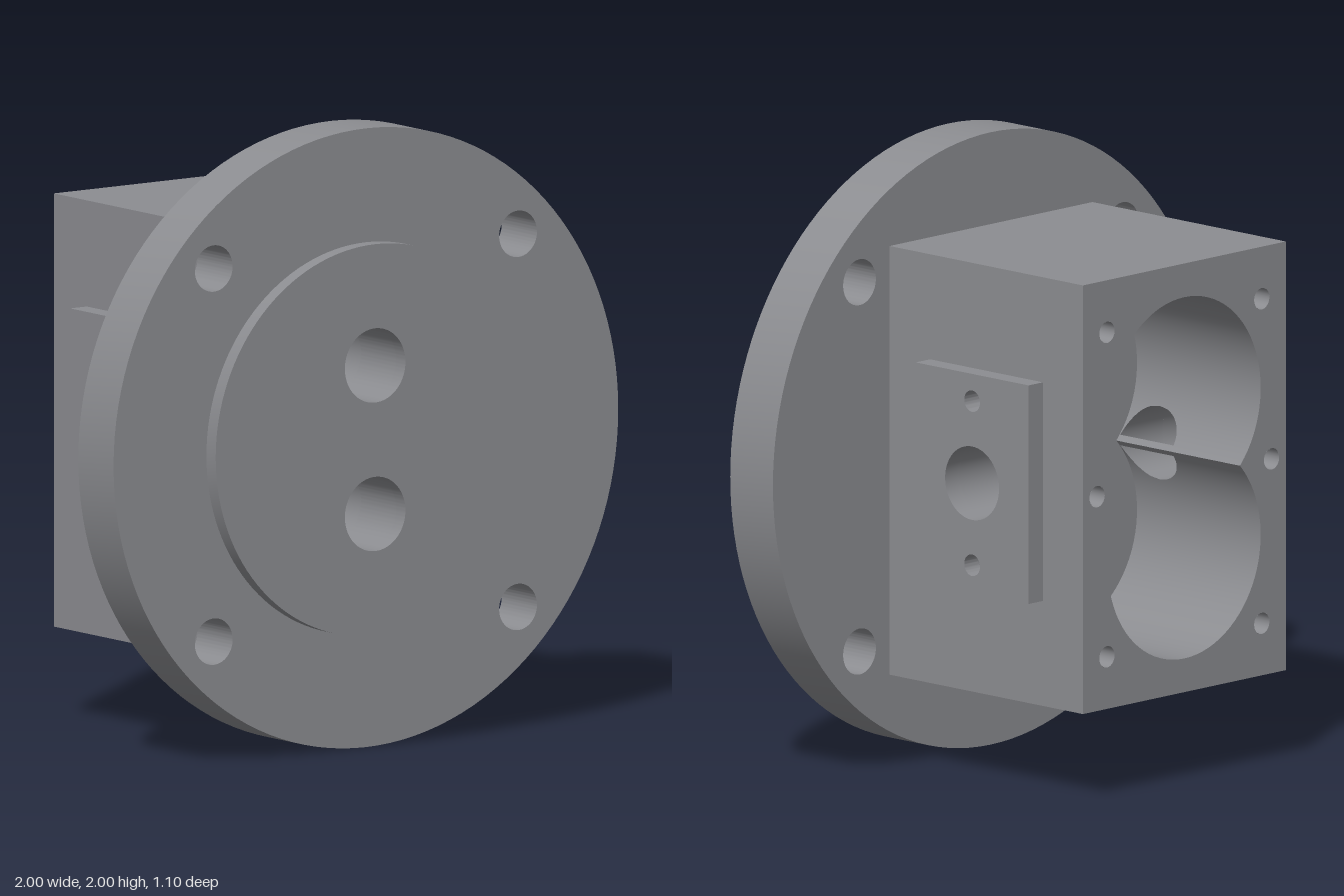
import * as THREE from 'three';
import { toCreasedNormals } from 'three/addons/utils/BufferGeometryUtils.js';

const BOX_W = 0.465, BOX_H = 0.7, BACK = -0.55, FLOOR = 0, FLANGE_Z = 0.31;
const BORE_R = 0.35, BORE_Y = 0.24, TUNNEL_R = 0.12;
const PORT_R = 0.12, PORT_Z = -0.121, PORT_DEPTH_X = 0.27, SCREW_R = 0.035, SCREW_Y = 0.268;

function circle(x, y, r) {
  return new THREE.Path().absarc(x, y, r, 0, Math.PI * 2, true);
}

function rect(x0, y0, x1, y1) {
  return new THREE.Shape([[x0, y0], [x1, y0], [x1, y1], [x0, y1]].map(p => new THREE.Vector2(...p)));
}

function disc(r) {
  return new THREE.Shape().absarc(0, 0, r, 0, Math.PI * 2, false);
}

function extrude(shape, depth, segments = 32) {
  const g = new THREE.ExtrudeGeometry(shape, { depth, bevelEnabled: false, curveSegments: segments });
  return toCreasedNormals(g, 0.6);
}

// Angles along one quarter of the double bore, from the ridge to the top
function boreAngles() {
  const at = dy => Math.asin((dy - BORE_Y) / BORE_R);
  const tip = BORE_Y - Math.sqrt(BORE_R ** 2 - PORT_DEPTH_X ** 2);
  const stops = [at(0), at(tip), at(PORT_R), Math.PI / 2];
  const counts = [3, 20, 24], list = [stops[0]];
  counts.forEach((n, k) => {
    for (let i = 1; i <= n; i++) list.push(stops[k] + (stops[k + 1] - stops[k]) * i / n);
  });
  return { list, tip, gapFrom: counts[0], gapTo: counts[0] + counts[1] };
}

// Quarter of the bore wall, leaving an opening where the side port cuts it
function boreQuarter() {
  const { list, gapFrom, gapTo } = boreAngles();
  const pos = [], nor = [];
  const strip = (i, z) => {
    const c = [[i, z[0]], [i, z[1]], [i + 1, z[3]], [i + 1, z[2]]];
    for (const k of [0, 1, 2, 0, 2, 3]) {
      const a = list[c[k][0]];
      pos.push(BORE_R * Math.cos(a), BORE_Y + BORE_R * Math.sin(a), c[k][1]);
      nor.push(-Math.cos(a), -Math.sin(a), 0);
    }
  };
  const half = i => {
    const dy = BORE_Y + BORE_R * Math.sin(list[i]);
    return Math.sqrt(Math.max(0, PORT_R ** 2 - dy ** 2));
  };
  for (let i = 0; i < list.length - 1; i++) {
    if (i >= gapFrom && i < gapTo) {
      const a = half(i), b = half(i + 1);
      strip(i, [BACK, PORT_Z - a, BACK, PORT_Z - b]);
      strip(i, [PORT_Z + a, FLOOR, PORT_Z + b, FLOOR]);
    } else strip(i, [BACK, FLOOR, BACK, FLOOR]);
  }
  const g = new THREE.BufferGeometry();
  g.setAttribute('position', new THREE.Float32BufferAttribute(pos, 3));
  g.setAttribute('normal', new THREE.Float32BufferAttribute(nor, 3));
  // Turn the winding to match the inward normals
  const index = [];
  for (let i = 0; i < pos.length / 3; i += 3) index.push(i, i + 2, i + 1);
  g.setIndex(index);
  return g;
}

export function createModel() {
  const model = new THREE.Group();
  const body = new THREE.Group();
  body.name = 'sensorHousing';
  body.position.y = 1;
  model.add(body);
  const grey = new THREE.MeshStandardMaterial({ color: 0x8c8d91, side: THREE.DoubleSide });
  grey.name = 'housing grey';

  const add = (name, geometry, parent = body) => {
    const m = new THREE.Mesh(geometry, grey);
    m.name = name;
    parent.add(m);
    return m;
  };
  const tunnels = () => [circle(0, BORE_Y, TUNNEL_R), circle(0, -BORE_Y, TUNNEL_R)];

  // Round flange with four bolt holes
  const flange = disc(1);
  flange.holes.push(...tunnels());
  for (const x of [-0.603, 0.603]) for (const y of [-0.603, 0.603]) flange.holes.push(circle(x, y, 0.075));
  add('flange', extrude(flange, 0.5 - FLANGE_Z, 64)).position.z = FLANGE_Z;

  // Raised front disc
  const boss = disc(0.632);
  boss.holes.push(...tunnels());
  add('frontDisc', extrude(boss, 0.05, 64)).position.z = 0.5;

  // Solid front part of the box, its rear face being the bore floor
  const solid = rect(-BOX_W, -BOX_H, BOX_W, BOX_H);
  solid.holes.push(...tunnels());
  add('boxFront', extrude(solid, FLANGE_Z - FLOOR)).position.z = FLOOR;

  // Top and bottom walls of the hollow rear part
  for (const s of [-1, 1]) {
    const g = new THREE.PlaneGeometry(BOX_W * 2, FLOOR - BACK).rotateX(-s * Math.PI / 2);
    add(s > 0 ? 'topWall' : 'bottomWall', g).position.set(0, s * BOX_H, (FLOOR + BACK) / 2);
  }

  // Rear face with the double bore opening and six screw holes
  const screws = [];
  for (const x of [-1, 1]) for (const y of [-1, 0, 1]) screws.push([x * (y ? 0.355 : 0.4), y * 0.53]);
  const rear = rect(-BOX_W, -BOX_H, BOX_W, BOX_H);
  const quarter = boreAngles().list.map(a => [BORE_R * Math.cos(a), BORE_Y + BORE_R * Math.sin(a)]);
  const back = [...quarter].reverse();
  const outline = [
    ...quarter, ...back.slice(1).map(([x, y]) => [-x, y]),
    ...quarter.slice(1).map(([x, y]) => [-x, -y]), ...back.slice(1, -1).map(([x, y]) => [x, -y]),
  ];
  rear.holes.push(new THREE.Path(outline.map(p => new THREE.Vector2(...p))));
  for (const [x, y] of screws) rear.holes.push(circle(x, y, SCREW_R));
  const rearGeo = new THREE.ShapeGeometry(rear, 24).rotateY(Math.PI);
  add('rearFace', rearGeo).position.z = BACK;

  // Blind screw hole opening towards +z
  const blindHole = (name, depth, parent) => {
    const hole = new THREE.Group();
    hole.name = name;
    add('holeWall', new THREE.CylinderGeometry(SCREW_R, SCREW_R, depth, 24, 1, true)
      .rotateX(Math.PI / 2).translate(0, 0, -depth / 2), hole);
    add('holeBottom', new THREE.CircleGeometry(SCREW_R, 24).translate(0, 0, -depth), hole);
    parent.add(hole);
    return hole;
  };
  for (const [x, y] of screws) {
    const h = blindHole('rearScrewHole', 0.25, body);
    h.position.set(x, y, BACK);
    h.rotation.y = Math.PI;
  }

  // Double bore, mirrored from one quarter
  const boreGeo = boreQuarter();
  for (const x of [-1, 1]) for (const y of [-1, 1]) add('boreWall', boreGeo).scale.set(x, y, 1);

  // Side walls, pads and ports, mirrored left and right
  const { tip } = boreAngles();
  for (const s of [1, -1]) {
    const side = new THREE.Group();
    side.name = s > 0 ? 'leftSide' : 'rightSide';
    side.scale.x = s;
    body.add(side);
    const holes = () => [circle(-PORT_Z, 0, PORT_R),
      circle(-PORT_Z, SCREW_Y, SCREW_R), circle(-PORT_Z, -SCREW_Y, SCREW_R)];

    const wall = rect(-FLOOR, -BOX_H, -BACK, BOX_H);
    wall.holes.push(...holes());
    add('sideWall', new THREE.ShapeGeometry(wall, 32).rotateY(Math.PI / 2), side).position.x = BOX_W;

    const pad = rect(-0.13, -0.357, 0.372, 0.357);
    pad.holes.push(...holes());
    add('sidePad', extrude(pad, 0.066).rotateY(Math.PI / 2), side).position.x = BOX_W;

    // Port tube whose inner end follows the bore wall
    const port = new THREE.CylinderGeometry(PORT_R, PORT_R, 1, 96, 1, true).rotateZ(-Math.PI / 2);
    const p = port.attributes.position;
    for (let i = 0; i < p.count; i++) {
      const dy = Math.abs(p.getY(i));
      const inner = Math.max(PORT_DEPTH_X, Math.sqrt(BORE_R ** 2 - (BORE_Y - dy) ** 2));
      p.setX(i, p.getX(i) > 0 ? BOX_W : inner);
    }
    add('sidePort', port, side).position.z = PORT_Z;

    // Thin ridge left between the bores behind the port
    add('boreRidge', new THREE.PlaneGeometry(PORT_R * 2, tip * 2).rotateY(Math.PI / 2), side)
      .position.set(PORT_DEPTH_X, 0, PORT_Z);

    for (const y of [-SCREW_Y, SCREW_Y]) {
      const h = blindHole('sideScrewHole', 0.07, side);
      h.position.set(BOX_W, y, PORT_Z);
      h.rotation.y = Math.PI / 2;
    }
  }
  return model;
}
